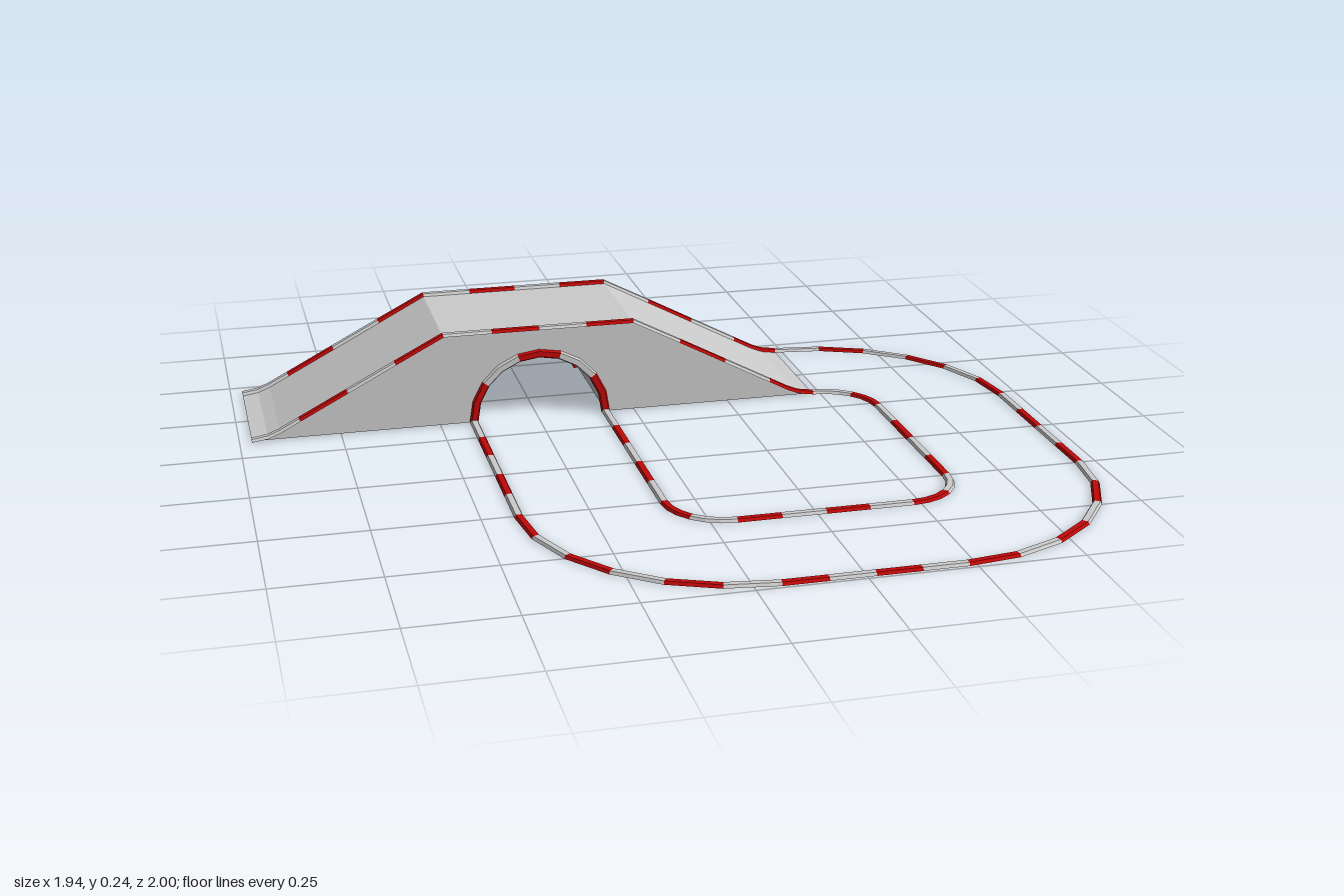
import * as THREE from 'three';
import { mergeGeometries } from 'three/addons/utils/BufferGeometryUtils.js';

const material = (color) => new THREE.MeshStandardMaterial({ color, flatShading: true, side: THREE.DoubleSide });
const grey = material(0xcccccc);
const red = material(0xc00808);
const V = (x, y, z) => new THREE.Vector3(x, y, z);

const Z_FRONT = -0.105, Z_BACK = -0.445;      // bridge sides
const ARCH_X = -0.245, ARCH_R = 0.17;         // tunnel
const DECK = [[-0.97, 0], [-0.93, 0.006], [-0.9, 0.018], [-0.488, 0.235],
  [-0.002, 0.235], [0.41, 0.018], [0.44, 0.006], [0.48, 0]];
const KERB = [[-0.011, 0], [-0.007, 0.007], [0.007, 0.007], [0.011, 0]];

// Skin a surface over rows of points
function skin(rows, closed = false) {
  const n = rows[0].length, index = [];
  for (let i = 0; i < rows.length - 1; i++) {
    for (let j = 0; j < (closed ? n : n - 1); j++) {
      const a = i * n + j, b = i * n + (j + 1) % n;
      index.push(a, b, a + n, b, b + n, a + n);
    }
  }
  if (closed) {
    for (const s of [0, (rows.length - 1) * n]) index.push(s, s + 2, s + 1, s, s + 3, s + 2);
  }
  const g = new THREE.BufferGeometry().setFromPoints(rows.flat());
  g.setIndex(index);
  g.computeVertexNormals();
  return g;
}

// Sweep the kerb section along dashes (lists of points sharing end points).
// fixed is the constant axis of the path: its up axis, or its side axis.
function kerb(name, dashes, fixed, fixedIsUp, startRed) {
  const path = [dashes[0][0], ...dashes.flatMap((d) => d.slice(1))];
  const section = (k) => {
    const p = path[k];
    const t = path[Math.min(k + 1, path.length - 1)].clone().sub(path[Math.max(k - 1, 0)]).normalize();
    const up = fixedIsUp ? fixed : fixed.clone().cross(t);
    const side = fixedIsUp ? t.clone().cross(fixed) : fixed;
    return KERB.map(([s, h]) => p.clone().addScaledVector(side, s).addScaledVector(up, h));
  };
  const parts = [[], []];
  let k = 0;
  dashes.forEach((d, i) => {
    parts[i % 2].push(skin(d.map((_, j) => section(k + j)), true));
    k += d.length - 1;
  });
  const group = new THREE.Group();
  group.name = name;
  parts.forEach((list, i) => {
    const isRed = (i === 0) === startRed;
    const mesh = new THREE.Mesh(mergeGeometries(list), isRed ? red : grey);
    mesh.name = name + (isRed ? 'RedBlocks' : 'GreyBlocks');
    group.add(mesh);
  });
  return group;
}

// Equal straight dashes
function straight(a, b, count) {
  return Array.from({ length: count }, (_, i) =>
    [a.clone().lerp(b, i / count), a.clone().lerp(b, (i + 1) / count)]);
}

// Arc split into dashes, with several steps in each
function arc(at, from, to, count, steps) {
  return Array.from({ length: count }, (_, i) => Array.from({ length: steps + 1 }, (_, j) =>
    at(THREE.MathUtils.degToRad(from + (to - from) * (i + j / steps) / count))));
}

// Loop of track edge with corner radius r
function loopDashes(r, count, steps) {
  const corner = (x, z, from) =>
    arc((a) => V(x + r * Math.cos(a), 0, z + r * Math.sin(a)), from, from + 90, count, steps);
  const x0 = 0.06, x1 = 0.48, z0 = 0.03, z1 = 0.51;
  return [
    ...corner(x1, z0, -90),
    ...straight(V(x1 + r, 0, z0), V(x1 + r, 0, z1), 4),
    ...corner(x1, z1, 0),
    ...straight(V(x1, 0, z1 + r), V(x0, 0, z1 + r), 4),
    ...corner(x0, z1, 90),
    ...straight(V(x0 - r, 0, z1), V(x0 - r, 0, Z_FRONT), 5),
  ];
}

// Twelve dashes following the deck profile
function deckDashes(z) {
  const x0 = DECK[0][0], step = (DECK.at(-1)[0] - x0) / 12;
  const height = (x) => {
    const i = Math.max(1, DECK.findIndex((p) => p[0] >= x - 1e-6));
    const [a, b] = [DECK[i - 1], DECK[i]];
    return THREE.MathUtils.lerp(a[1], b[1], (x - a[0]) / (b[0] - a[0]));
  };
  return Array.from({ length: 12 }, (_, i) => {
    const a = x0 + i * step, b = i === 11 ? DECK.at(-1)[0] : a + step;
    const inner = DECK.map((p) => p[0]).filter((x) => x > a + 0.005 && x < b - 0.005);
    return [a, ...inner, b].map((x) => V(x, height(x), z));
  });
}

export function createModel() {
  const model = new THREE.Group();
  model.name = 'crossoverTrack';
  const add = (name, geometry) => {
    const mesh = new THREE.Mesh(geometry, grey);
    mesh.name = name;
    model.add(mesh);
  };

  // Bridge deck and tunnel lining, open underneath
  const tunnel = Array.from({ length: 11 }, (_, i) => {
    const a = Math.PI * i / 10;
    return [ARCH_X + ARCH_R * Math.cos(a), ARCH_R * Math.sin(a)];
  });
  const across = ([x, y]) => [V(x, y, Z_BACK), V(x, y, Z_FRONT)];
  add('bridgeDeck', skin(DECK.map(across)));
  add('tunnelLining', skin(tunnel.map(across)));

  // Side walls with the arch cut out
  const outline = [...DECK, ...tunnel].map(([x, y]) => new THREE.Vector2(x, y));
  for (const [name, z] of [['frontWall', Z_FRONT], ['backWall', Z_BACK]]) {
    add(name, new THREE.ShapeGeometry(new THREE.Shape(outline)).translate(0, 0, z));
  }

  // Kerbs along the deck edges and around the tunnel mouths
  for (const [side, z, out] of [['front', Z_FRONT, 1], ['back', Z_BACK, -1]]) {
    model.add(kerb(side + 'DeckKerb', deckDashes(z), V(0, 0, 1), false, false));
    const mouth = arc((a) => V(ARCH_X + ARCH_R * Math.cos(a), ARCH_R * Math.sin(a), z), 0, 180, 5, 2);
    model.add(kerb(side + 'ArchKerb', mouth, V(0, 0, out), true, true));
  }

  // Ground kerbs: the loop and the straight behind the bridge
  const up = V(0, 1, 0);
  model.add(kerb('outerLoopKerb', loopDashes(0.475, 6, 1), up, true, false));
  model.add(kerb('innerLoopKerb', loopDashes(0.135, 2, 3), up, true, false));
  for (const [name, s] of [['rightExitKerb', -1], ['leftExitKerb', 1]]) {
    const x = ARCH_X + s * ARCH_R;
    model.add(kerb(name, straight(V(x, 0, -1), V(x, 0, Z_BACK), 5), up, true, true));
  }
  return model;
}
